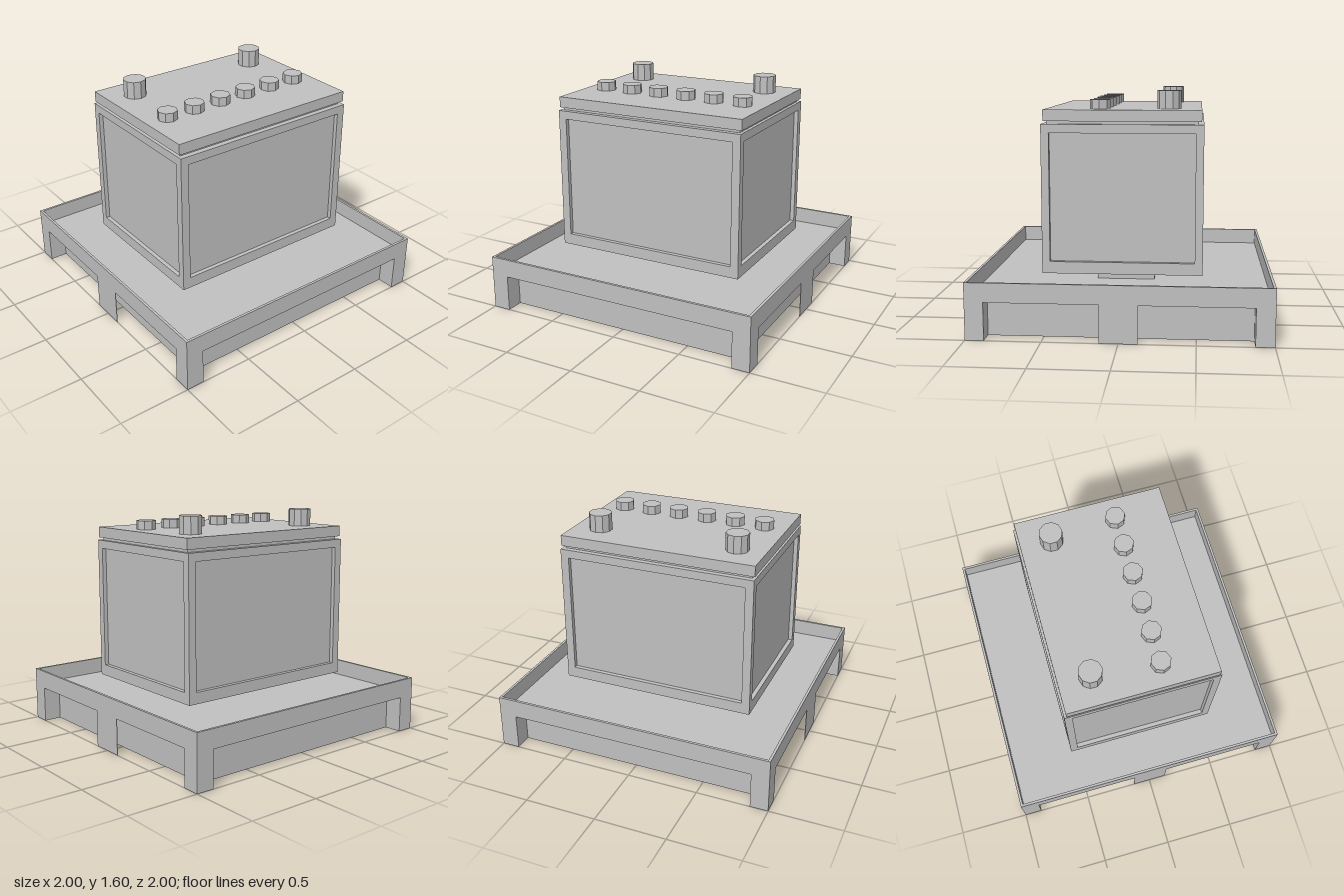
import * as THREE from 'three';

const grey = new THREE.MeshStandardMaterial({ color: 0xc0c0c0 });
grey.name = 'plain grey';

function add(parent, name, geometry, x = 0, y = 0, z = 0) {
  const mesh = new THREE.Mesh(geometry, grey);
  mesh.name = name;
  mesh.position.set(x, y, z);
  parent.add(mesh);
  return mesh;
}

// Box given by its width, bottom, top and depth
function slab(parent, name, w, y0, y1, d, x = 0, z = 0) {
  return add(parent, name, new THREE.BoxGeometry(w, y1 - y0, d), x, (y0 + y1) / 2, z);
}

function rectPoints(x0, y0, x1, y1) {
  return [[x0, y0], [x1, y0], [x1, y1], [x0, y1]].map(([x, y]) => new THREE.Vector2(x, y));
}

// Rectangular plate with a rectangular opening
function frameGeometry(outer, inner, depth) {
  const shape = new THREE.Shape(rectPoints(...outer));
  shape.holes.push(new THREE.Path(rectPoints(...inner).reverse()));
  return new THREE.ExtrudeGeometry(shape, { depth, bevelEnabled: false });
}

function createTray() {
  const tray = new THREE.Group();
  tray.name = 'tray';
  const leg = 0.125, opening = 0.255, floorTop = 0.27, rimTop = 0.385, thin = 0.004;

  slab(tray, 'trayFloor', 2, opening, floorTop, 2);

  // Raised rim around the floor
  const rim = add(tray, 'trayRim',
    frameGeometry([-1, -1, 1, 1], [-0.982, -0.982, 0.982, 0.982], rimTop - floorTop), 0, floorTop, 0);
  rim.rotation.x = -Math.PI / 2;

  for (const s of [-1, 1]) {
    for (const t of [-1, 1]) {
      slab(tray, 'cornerLeg', leg, 0, opening, leg, s * (1 - leg / 2), t * (1 - leg / 2));
    }
    // Walls set back between the legs, and a flat tab on the front and back
    const inset = 1 - leg - thin / 2;
    slab(tray, 'recessedEndWall', 2 - 2 * leg, 0, opening, thin, 0, s * inset);
    slab(tray, 'recessedSideWall', thin, 0, opening, 2 - 2 * leg, s * inset, 0);
    slab(tray, 'middleTab', 0.25, 0, opening, thin, 0, s * (1 - thin / 2));
  }
  return tray;
}

function createBattery() {
  const battery = new THREE.Group();
  battery.name = 'battery';
  const hx = 0.537, hz = 0.7, y0 = 0.385, y1 = 1.385, recess = 0.03;
  const p0 = 0.465, p1 = 1.327;

  slab(battery, 'hiddenSupport', 0.4, 0.27, y0, 0.7);
  slab(battery, 'caseCore', 2 * (hx - recess), y0, y1, 2 * (hz - recess));

  // Raised frames around the four recessed panels
  const endFrame = frameGeometry([-hx, y0, hx, y1], [-0.484, p0, 0.484, p1], recess);
  const w = hz - recess;
  const sideFrame = frameGeometry([-w, y0, w, y1], [-0.642, p0, 0.642, p1], recess);
  for (const s of [-1, 1]) {
    add(battery, 'endFrame', endFrame, 0, 0, s * (hz - recess)).rotation.y = s > 0 ? 0 : Math.PI;
    add(battery, 'sideFrame', sideFrame, s * (hx - recess), 0, 0).rotation.y = s * Math.PI / 2;
  }

  // Lid on a narrower neck
  slab(battery, 'neck', 1.0, y1, 1.405, 1.355);
  slab(battery, 'lid', 1.044, 1.405, 1.48, 1.4);
  return battery;
}

// Faceted upright stud standing on the lid
function stud(parent, name, radius, height, sides, x, z) {
  const geometry = new THREE.CylinderGeometry(radius, radius, height, sides)
    .rotateY(Math.PI / 2).toNonIndexed();
  geometry.computeVertexNormals();
  return add(parent, name, geometry, x, 1.48 + height / 2, z);
}

export function createModel() {
  const model = new THREE.Group();
  model.name = 'batteryOnTray';
  model.add(createTray());
  const battery = createBattery();
  model.add(battery);

  for (const s of [-1, 1]) stud(battery, 'terminal', 0.08, 0.122, 10, -0.303, s * 0.503);
  for (let i = 0; i < 6; i++) stud(battery, 'fillerCap', 0.069, 0.062, 8, 0.157, (i - 2.5) * 0.216);
  return model;
}
